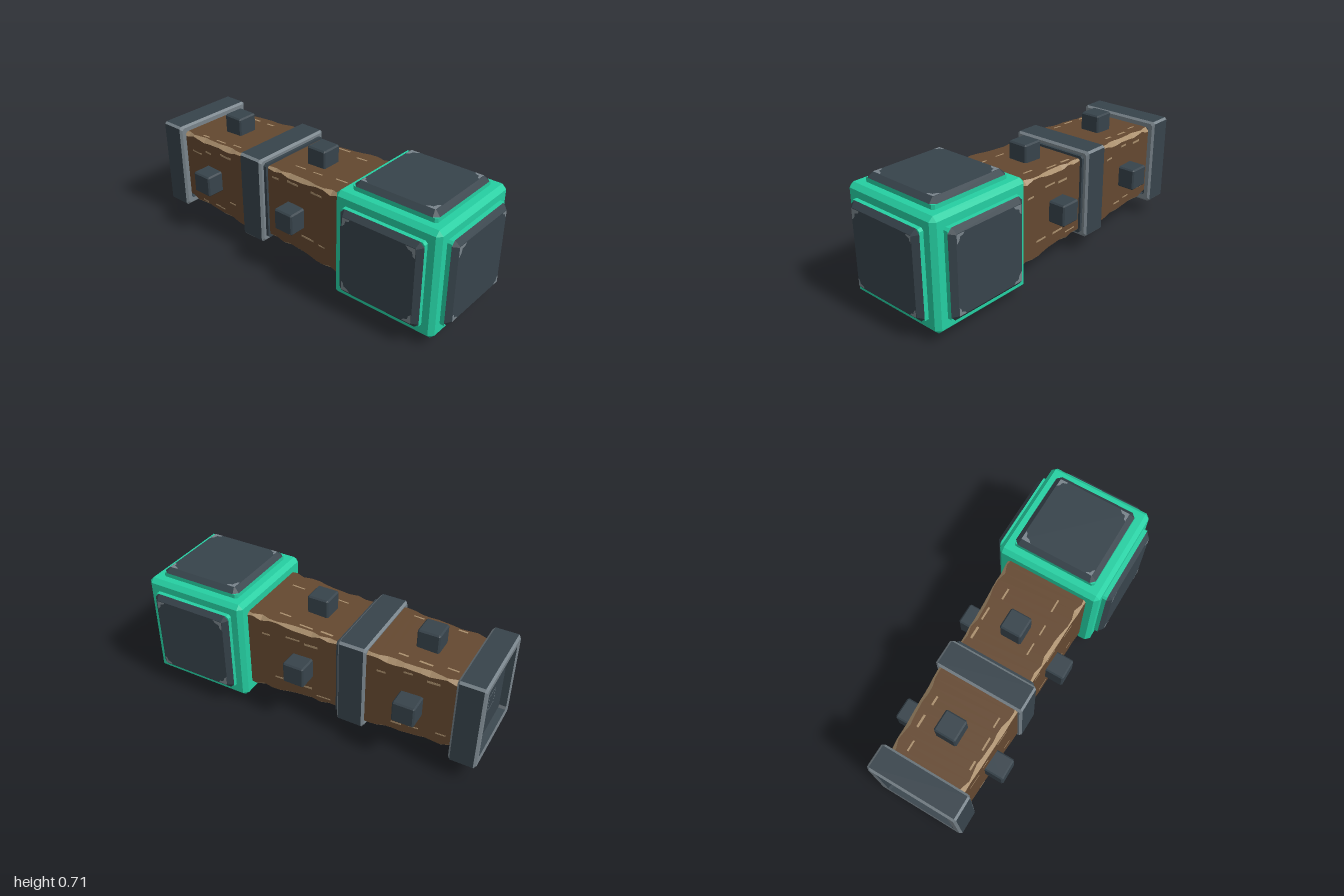
import * as THREE from 'three';

const paint = (name, color) => {
  const m = new THREE.MeshStandardMaterial({ color });
  m.name = name;
  return m;
};

export function createModel() {
  const MATS = [
    paint('dark iron', 0x37434b), paint('worn iron', 0x78838a),
    paint('teal', 0x25cfa2), paint('wood', 0x644830), paint('worn wood', 0xa98e6c),
  ];
  const [IRON, WORN, TEAL, WOOD, PALE] = [0, 1, 2, 3, 4];
  const CY = 0.356;
  const model = new THREE.Group();
  model.name = 'hammer';
  const body = new THREE.Group();
  body.name = 'body';
  body.position.y = CY;
  model.add(body);

  let seed = 7;
  const rand = () => (seed = (seed * 16807) % 2147483647) / 2147483647;

  // Square loft along z. Section: [half width, z, strip colour, corner colour, corner cut]
  function loft(name, sections, parent = body) {
    const rings = sections.map(([h, z, , , cut = 0.012]) => {
      const k = Math.max(h - cut, 0);
      return [[h, -k], [h, k], [k, h], [-k, h], [-h, k], [-h, -k], [-k, -h], [k, -h]]
        .map(([x, y]) => [x, y, z]);
    });
    const pos = [];
    const geo = new THREE.BufferGeometry();
    for (let i = 0; i < rings.length - 1; i++) {
      const [, , side, corner = side] = sections[i];
      for (let j = 0; j < 8; j++) {
        const n = (j + 1) % 8;
        const a = rings[i][j], b = rings[i][n], c = rings[i + 1][n], d = rings[i + 1][j];
        geo.addGroup(pos.length / 3, 6, j % 2 ? corner : side);
        pos.push(...a, ...b, ...c, ...a, ...c, ...d);
      }
    }
    geo.setAttribute('position', new THREE.Float32BufferAttribute(pos, 3));
    geo.computeVertexNormals();
    const mesh = new THREE.Mesh(geo, MATS);
    mesh.name = name;
    parent.add(mesh);
    return mesh;
  }

  // Bevelled head block
  const head = new THREE.Group();
  head.name = 'head';
  head.position.z = 0.645;
  body.add(head);
  const H = 0.306, B = 0.024;
  loft('headBlock', [
    [0, -H, TEAL], [H - B, -H, TEAL, TEAL, 0.001], [H, -H + B, TEAL, TEAL, B],
    [H, H - B, TEAL, TEAL, B], [H - B, H, TEAL, TEAL, 0.001], [0, H, TEAL],
  ], head);

  // Raised plates on five faces, with scuffed corners
  const scuff = new THREE.Shape([[0, 0], [-0.062, 0], [-0.045, -0.018], [-0.02, -0.026],
    [-0.014, -0.05], [0, -0.06]].map(([x, y]) => new THREE.Vector2(x, y)));
  const turns = [[0, 0], [0, Math.PI / 2], [0, -Math.PI / 2], [Math.PI / 2, 0], [-Math.PI / 2, 0]];
  turns.forEach(([rx, ry]) => {
    const plate = new THREE.Group();
    plate.name = 'strikePlate';
    plate.rotation.set(rx, ry, 0);
    head.add(plate);
    loft('plateBase', [[0.243, 0.29, TEAL], [0.243, 0.33, TEAL]], plate);
    loft('plateFace', [[0.243, 0.33, IRON, IRON, 0.024], [0.215, 0.355, IRON, IRON, 0.004], [0, 0.355, IRON]], plate);
    for (let q = 0; q < 4; q++) {
      const wear = new THREE.Mesh(new THREE.ShapeGeometry(scuff), MATS[WORN]);
      wear.name = 'plateScuff';
      const s = Math.SQRT2 * 0.213, a = q * Math.PI / 2;
      wear.position.set(s * Math.cos(a + Math.PI / 4), s * Math.sin(a + Math.PI / 4), 0.356);
      wear.rotation.z = a;
      wear.scale.setScalar(0.6 + 0.4 * rand());
      plate.add(wear);
    }
  });

  // Two tapered wooden grip sections with chipped corners
  [[-0.88, -0.34, 0.214, 0.237], [-0.24, 0.36, 0.216, 0.242]].forEach(([z0, z1, h0, h1]) => {
    const steps = 12;
    const sections = [];
    for (let i = 0; i <= steps; i++) {
      const t = i / steps;
      sections.push([h0 + (h1 - h0) * t, z0 + (z1 - z0) * t, WOOD, PALE, 0.006 + 0.02 * rand()]);
    }
    loft('grip', sections);

    // Pale scratches in the wood
    for (let side = 0; side < 4; side++) {
      const face = new THREE.Group();
      face.name = 'gripScratches';
      face.rotation.z = side * Math.PI / 2;
      body.add(face);
      for (let i = 0; i < 6; i++) {
        const t = 0.15 + 0.7 * (i + rand() * 0.6) / 6;
        const scratch = new THREE.Mesh(
          new THREE.BoxGeometry(0.006, 0.007 + 0.006 * rand(), 0.04 + 0.05 * rand()), MATS[PALE]);
        scratch.name = 'scratch';
        scratch.position.set(h0 + (h1 - h0) * t - 0.002, (i % 2 ? 1 : -1) * (0.11 + 0.08 * rand()), z0 + (z1 - z0) * t);
        scratch.rotation.y = Math.atan2(h1 - h0, z1 - z0);
        face.add(scratch);
      }
    }
  });

  // Iron band around the middle of the grip
  loft('middleBand', [
    [0, -0.345, IRON], [0.225, -0.345, IRON], [0.23, -0.365, WORN], [0.247, -0.37, WORN],
    [0.259, -0.358, IRON, WORN], [0.259, -0.222, WORN], [0.247, -0.21, WORN],
    [0.232, -0.21, IRON], [0.232, -0.193, IRON], [0, -0.193, IRON],
  ]);

  // End cap with a recessed back
  loft('endCap', [
    [0, -0.96, IRON], [0.2, -0.96, IRON], [0.21, -0.997, WORN], [0.247, -1, WORN],
    [0.259, -0.988, IRON, WORN], [0.259, -0.862, WORN], [0.247, -0.85, WORN],
    [0.222, -0.85, IRON], [0.215, -0.87, IRON], [0, -0.87, IRON],
  ]);
  const mark = new THREE.Mesh(new THREE.RingGeometry(0.06, 0.067, 4, 1, Math.PI / 4), MATS[WORN]);
  mark.name = 'endCapInset';
  mark.rotation.y = Math.PI;
  mark.position.z = -0.962;
  body.add(mark);

  // Studs on all four sides of each grip section
  for (const z of [0.013, -0.618]) {
    for (const [rx, ry] of turns.slice(1)) {
      const stud = loft('stud', [
        [0.062, 0.18, IRON, IRON, 0.008], [0.062, 0.322, IRON, IRON, 0.008],
        [0.054, 0.33, IRON, IRON, 0.001], [0, 0.33, IRON],
      ]);
      stud.rotation.set(rx, ry, 0);
      stud.position.z = z;
    }
  }
  return model;
}
